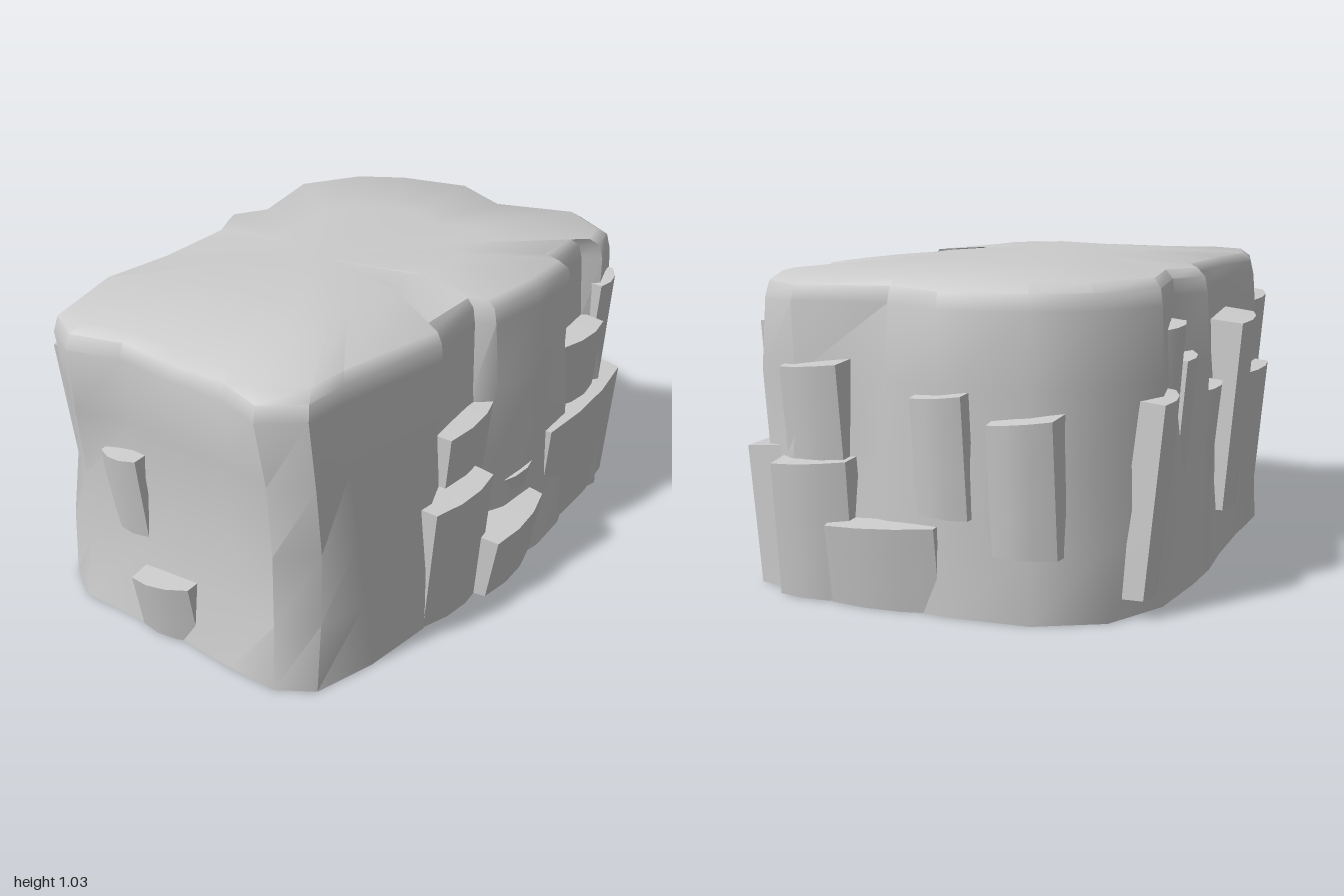
import * as THREE from 'three';
import { toCreasedNormals } from 'three/addons/utils/BufferGeometryUtils.js';

const material = new THREE.MeshStandardMaterial({ color: 0xcccccc });

// Rim of the rock (x, z), counter-clockwise from above, starting at the front left of the plan
const rim = [
  [-0.53, 0.85], [-0.4, 0.93], [-0.22, 0.89], [0, 0.92], [0.2, 0.93], [0.36, 0.99], [0.48, 0.9],
  [0.49, 0.75], [0.57, 0.35], [0.51, 0.32], [0.51, 0.06], [0.57, 0.03], [0.6, -0.2], [0.6, -0.42],
  [0.53, -0.45], [0.53, -0.64], [0.59, -0.68], [0.56, -0.8],
  [0.4, -0.91], [0.12, -0.83], [-0.1, -0.95], [-0.36, -0.9], [-0.52, -0.81],
  [-0.65, -0.6], [-0.58, -0.27], [-0.65, -0.15], [-0.58, 0], [-0.57, 0.33], [-0.6, 0.6],
];
const n = rim.length;

// Base outline: the rim evened out over its neighbours and spread sideways
const base = rim.map((p, i) => {
  const a = rim[(i + n - 1) % n];
  const b = rim[(i + 1) % n];
  return [0, 1].map((k) => (a[k] + 2 * p[k] + b[k]) / 4 * (k ? 1.01 : 1.09));
});

// Walls, rounded shoulder and gently domed top: height and inward scale
const rings = [[0, 1], [0.22, 1], [0.45, 1], [0.68, 1], [0.9, 1], [0.95, 0.985], [0.977, 0.94], [1, 0.5]];

function rockCore() {
  const pos = [];
  const index = [];
  for (const [y, s] of rings) {
    const t = Math.min(1, y / 0.9);
    rim.forEach((p, i) => {
      const wobble = y > 0.1 && y < 0.8 ? 1 + 0.012 * Math.sin(i * 2.3 + y * 9) : 1;
      const x = THREE.MathUtils.lerp(base[i][0], p[0], t) * s * wobble;
      let z = THREE.MathUtils.lerp(base[i][1], p[1], t) * s * wobble;
      // hollow at the foot of the front, and a slight waist
      if (z > 0.8) z -= Math.max(0, 0.1 - Math.abs(x - 0.1)) * (1 - t) + 0.04 * Math.sin(Math.PI * t);
      pos.push(x, y, z);
    });
  }
  const peak = pos.push(-0.03, 1.03, 0.15) / 3 - 1;
  const foot = pos.push(0, 0, 0) / 3 - 1;
  const last = (rings.length - 1) * n;
  for (let i = 0; i < n; i++) {
    const j = (i + 1) % n;
    for (let r = 0; r < last; r += n) {
      index.push(r + i, r + j, r + n + j, r + i, r + n + j, r + n + i);
    }
    index.push(last + i, last + j, peak, j, i, foot);
  }
  const geo = new THREE.BufferGeometry();
  geo.setAttribute('position', new THREE.Float32BufferAttribute(pos, 3));
  geo.setIndex(index);
  return toCreasedNormals(geo, 0.75);
}

// Chiselled block facing +z: wider at the back, bulging, with a sloping top
function stoneBlock([u0, u1, y0, y1, reach], lean, skew) {
  const geo = new THREE.BoxGeometry(1, 1, 1, 3, 3, 1);
  const p = geo.attributes.position;
  const w = u1 - u0;
  for (let i = 0; i < p.count; i++) {
    const a = p.getX(i) + 0.5;
    const b = p.getY(i) + 0.5;
    const outer = p.getZ(i) > 0 ? 1 : 0;
    const front = reach - 0.04 * (1 - b) + 0.025 * Math.sin(Math.PI * a) - 0.015 + skew * (a - 0.5);
    p.setXYZ(i,
      u0 + w * a + outer * 0.06 * w * (1 - 2 * a) + lean * b,
      y0 + (y1 - y0) * b - outer * 0.025 * b + 0.02 * b * (a - 0.5),
      outer ? front : reach - 0.24);
  }
  return toCreasedNormals(geo, 0.6);
}

// Ledges of each wall: from, to (along the wall), bottom, top, reach
const walls = [
  { name: 'front', turn: 0, lean: 0, ledges: [
    [-0.18, 0.06, 0, 0.23, 0.97], [-0.34, -0.15, 0.3, 0.6, 0.92]] },
  { name: 'right', turn: Math.PI / 2, lean: 0, ledges: [
    [-0.2, 0.18, 0, 0.25, 0.7], [-0.46, -0.13, 0, 0.46, 0.65], [-0.33, 0.02, 0.2, 0.65, 0.59],
    [-0.02, 0.2, 0.1, 0.36, 0.62], [0.22, 0.86, 0, 0.45, 0.65], [0.38, 0.66, 0.3, 0.7, 0.63],
    [0.65, 0.8, 0.3, 0.84, 0.61]] },
  { name: 'back', turn: Math.PI, lean: 0, ledges: [
    [-0.48, -0.2, 0, 0.45, 0.95], [-0.46, -0.22, 0.4, 0.74, 0.94], [-0.3, 0.1, 0, 0.28, 0.96],
    [0, 0.2, 0.3, 0.68, 0.98], [0.24, 0.46, 0.2, 0.62, 0.96]] },
  { name: 'left', turn: -Math.PI / 2, lean: 0.06, ledges: [
    [-0.74, -0.56, 0.06, 0.66, 0.69], [-0.56, -0.42, 0.08, 0.85, 0.65], [-0.4, -0.27, 0.08, 0.74, 0.65],
    [-0.24, -0.08, 0.08, 0.62, 0.67], [0.04, 0.28, 0.15, 0.81, 0.7], [0.31, 0.56, 0, 0.6, 0.66],
    [0.52, 0.76, 0.2, 0.84, 0.61]] },
];

export function createModel() {
  const model = new THREE.Group();
  model.name = 'rockPlateau';

  const core = new THREE.Mesh(rockCore(), material);
  core.name = 'rockCore';
  model.add(core);

  // Broken ledges and leaning slabs around the walls
  for (const { name, turn, lean, ledges } of walls) {
    const wall = new THREE.Group();
    wall.name = name + 'Ledges';
    wall.rotation.y = turn;
    ledges.forEach((ledge, i) => {
      const mesh = new THREE.Mesh(stoneBlock(ledge, lean, i % 2 ? 0.03 : -0.02), material);
      mesh.name = name + 'Ledge' + (i + 1);
      wall.add(mesh);
    });
    model.add(wall);
  }
  return model;
}
